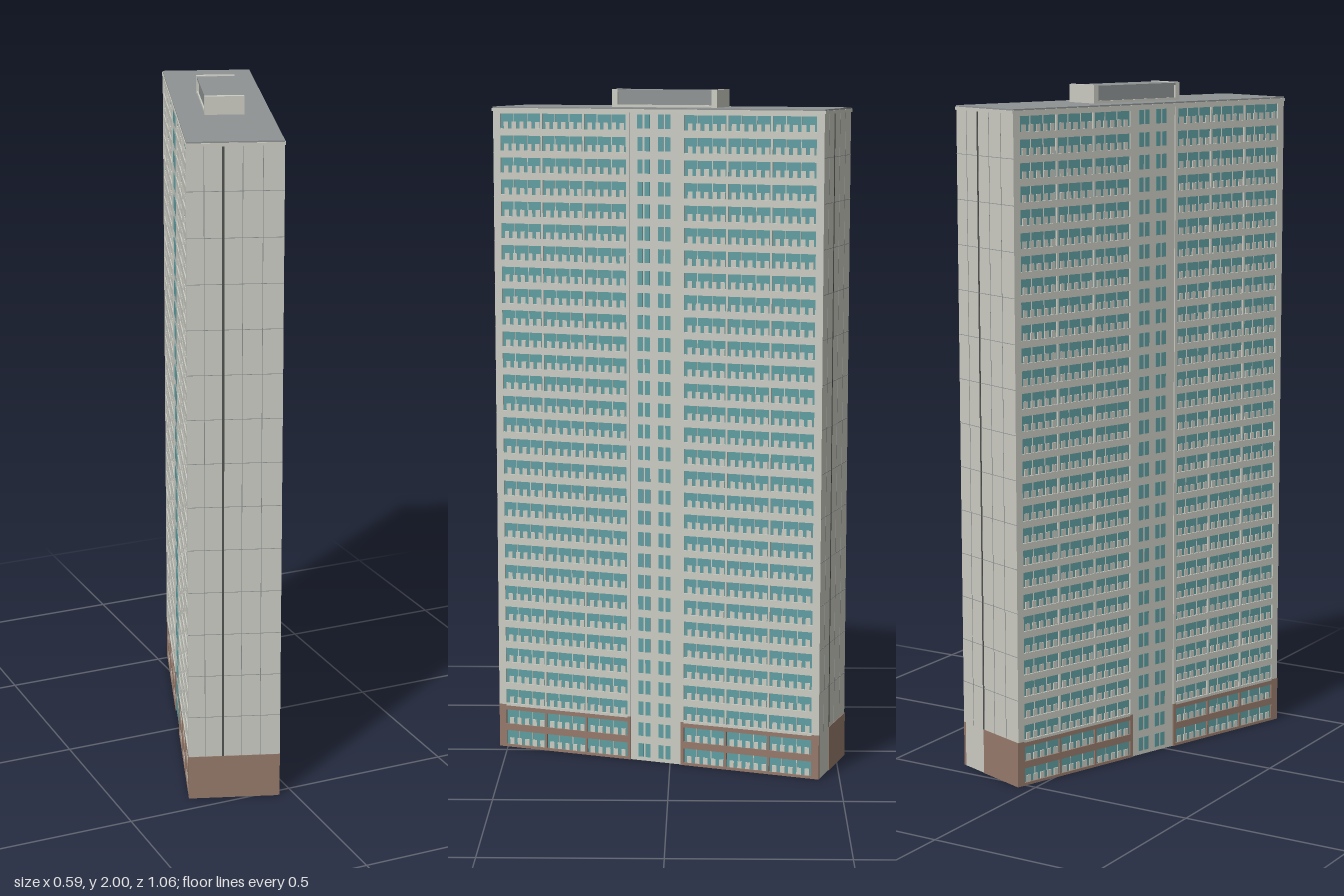
import * as THREE from 'three';
import { mergeGeometries } from 'three/addons/utils/BufferGeometryUtils.js';

const FLOORS = 30, PITCH = 0.0647, HEIGHT = FLOORS * PITCH; // storeys
const W = 0.133, L = 0.51, CORE = 0.124; // half width, half length, recessed wall line
const BRICK_TOP = 0.133, BAY = 0.133;

const material = (name, color) => {
  const m = new THREE.MeshStandardMaterial({ color });
  m.name = name;
  return m;
};

// Box given by its lower and upper limits on each axis
function box(x0, x1, y0, y1, z0, z1) {
  const g = new THREE.BoxGeometry(x1 - x0, y1 - y0, z1 - z0);
  g.translate((x0 + x1) / 2, (y0 + y1) / 2, (z0 + z1) / 2);
  return g;
}

function part(name, geometries, mat) {
  const mesh = new THREE.Mesh(mergeGeometries(geometries), mat);
  mesh.name = name;
  return mesh;
}

// One long side facing +x
function createFacade(mats) {
  const wall = [], brick = [], glass = [], frames = [];

  // Corner strips and piers beside the stair bay, brick at the foot
  for (const s of [-1, 1]) {
    for (const [a, b] of [[0.487, L], [0.08, 0.09]]) {
      const z0 = Math.min(s * a, s * b), z1 = Math.max(s * a, s * b);
      brick.push(box(CORE, W, 0, BRICK_TOP, z0, z1));
      wall.push(box(CORE, W, BRICK_TOP, HEIGHT, z0, z1));
    }
  }

  for (let f = 0; f < FLOORS; f++) {
    const y = f * PITCH;
    const shell = f < 2 ? brick : wall;
    for (const s of [-1, 1]) {
      const z0 = s > 0 ? 0.09 : -0.487, z1 = z0 + 0.397;
      // Spandrels below and above the openings
      shell.push(box(CORE, W, y, y + 0.008, z0, z1));
      shell.push(box(CORE, W, y + 0.052, y + PITCH, z0, z1));
      glass.push(box(CORE, CORE + 0.003, y + 0.008, y + 0.052, z0, z1));
      // Three bays, each with dividers and low parapet panels
      for (let b = 0; b < 3; b++) {
        const zb = z0 + b * BAY;
        if (b > 0) shell.push(box(CORE, W, y + 0.008, y + 0.052, zb - 0.003, zb + 0.003));
        for (let k = 0; k < 5; k++) {
          const zp = zb + 0.007 + k * 0.025;
          frames.push(box(CORE, W - 0.003, y + 0.008, y + 0.028, zp, zp + 0.014));
        }
        for (const m of [0.045, 0.09]) {
          frames.push(box(CORE, CORE + 0.005, y + 0.028, y + 0.052, zb + m, zb + m + 0.002));
        }
      }
    }
    // Paired narrow windows of the stair bay
    for (const c of [0.036, -0.028]) {
      for (const d of [-0.011, 0.011]) {
        glass.push(box(CORE, CORE + 0.007, y + 0.012, y + 0.053, c + d - 0.008, c + d + 0.008));
      }
    }
  }

  const stairWall = box(CORE, CORE + 0.005, 0, HEIGHT, -0.08, 0.08);
  const group = new THREE.Group();
  group.add(
    part('facadeWall', wall, mats.wall),
    part('facadeBrick', brick, mats.brick),
    part('windowGlass', glass, mats.glass),
    part('parapetPanels', frames, mats.wall),
    part('stairBay', [stairWall], mats.wall)
  );
  return group;
}

// Details of one end wall facing +z; brick spans from x0 to x1
function createEnd(mats, x0, x1) {
  const joints = [];
  for (const x of [-0.085, 0.02, 0.075]) {
    joints.push(box(x - 0.0008, x + 0.0008, BRICK_TOP, HEIGHT, L, L + 0.0006));
  }
  for (let f = 4; f < FLOORS; f += 2) {
    joints.push(box(-W, W, f * PITCH - 0.0008, f * PITCH + 0.0008, L, L + 0.0006));
  }
  const group = new THREE.Group();
  group.add(
    part('panelJoints', joints, mats.roof),
    part('endGroove', [box(-0.036, -0.03, BRICK_TOP, HEIGHT, L, L + 0.001)], mats.dark),
    part('endBrick', [box(x0, x1, 0, BRICK_TOP, L, L + 0.002)], mats.brick)
  );
  return group;
}

// Plant room with pale end walls and recessed sides
function createPlantRoom(mats) {
  const ends = [], sides = [];
  for (const s of [-1, 1]) {
    const z = s * 0.154;
    ends.push(box(-0.056, 0.056, HEIGHT, 2, z - 0.008, z + 0.008));
    sides.push(box(s * 0.053 - 0.002, s * 0.053 + 0.002, HEIGHT, HEIGHT + 0.014, -0.146, 0.146));
  }
  const group = new THREE.Group();
  group.name = 'plantRoom';
  group.add(
    part('plantRoomEnds', ends, mats.wall),
    part('plantRoomSills', sides, mats.wall),
    part('plantRoomBody', [box(-0.048, 0.048, HEIGHT, 1.993, -0.146, 0.146)], mats.roof),
    part('plantRoomRoof', [box(-0.055, 0.055, 1.991, 1.998, -0.146, 0.146)], mats.roof)
  );
  return group;
}

export function createModel() {
  const mats = {
    wall: material('paleConcrete', 0xcbccc3),
    brick: material('brownBrick', 0x967a6b),
    glass: material('tealGlass', 0x5f9ea2),
    roof: material('greyRoof', 0x8e9393),
    dark: material('darkJoint', 0x50524f),
  };

  const tower = new THREE.Group();
  tower.name = 'tower';
  tower.rotation.y = THREE.MathUtils.degToRad(-19.2);

  // Solid core behind both facades
  tower.add(part('core', [box(-CORE, CORE, 0, HEIGHT, -L, L)], mats.wall));

  // Both long sides, then both ends, by half turns
  for (const [i, side] of ['right', 'left'].entries()) {
    const facade = createFacade(mats);
    facade.name = side + 'Facade';
    facade.rotation.y = i * Math.PI;
    tower.add(facade);
  }
  for (const [i, end] of ['front', 'back'].entries()) {
    const wall = i === 0 ? createEnd(mats, -W, 0.125) : createEnd(mats, -0.033, W);
    wall.name = end + 'End';
    wall.rotation.y = i * Math.PI;
    tower.add(wall);
  }

  // Roof slab with a slim pale edge below it
  tower.add(part('roofEdge', [box(-0.135, 0.135, HEIGHT - 0.006, HEIGHT + 0.003, -0.513, 0.513)], mats.wall));
  tower.add(part('roof', [box(-0.133, 0.133, HEIGHT + 0.003, HEIGHT + 0.007, -0.511, 0.511)], mats.roof));
  tower.add(createPlantRoom(mats));

  const model = new THREE.Group();
  model.name = 'apartmentTower';
  model.add(tower);
  return model;
}
